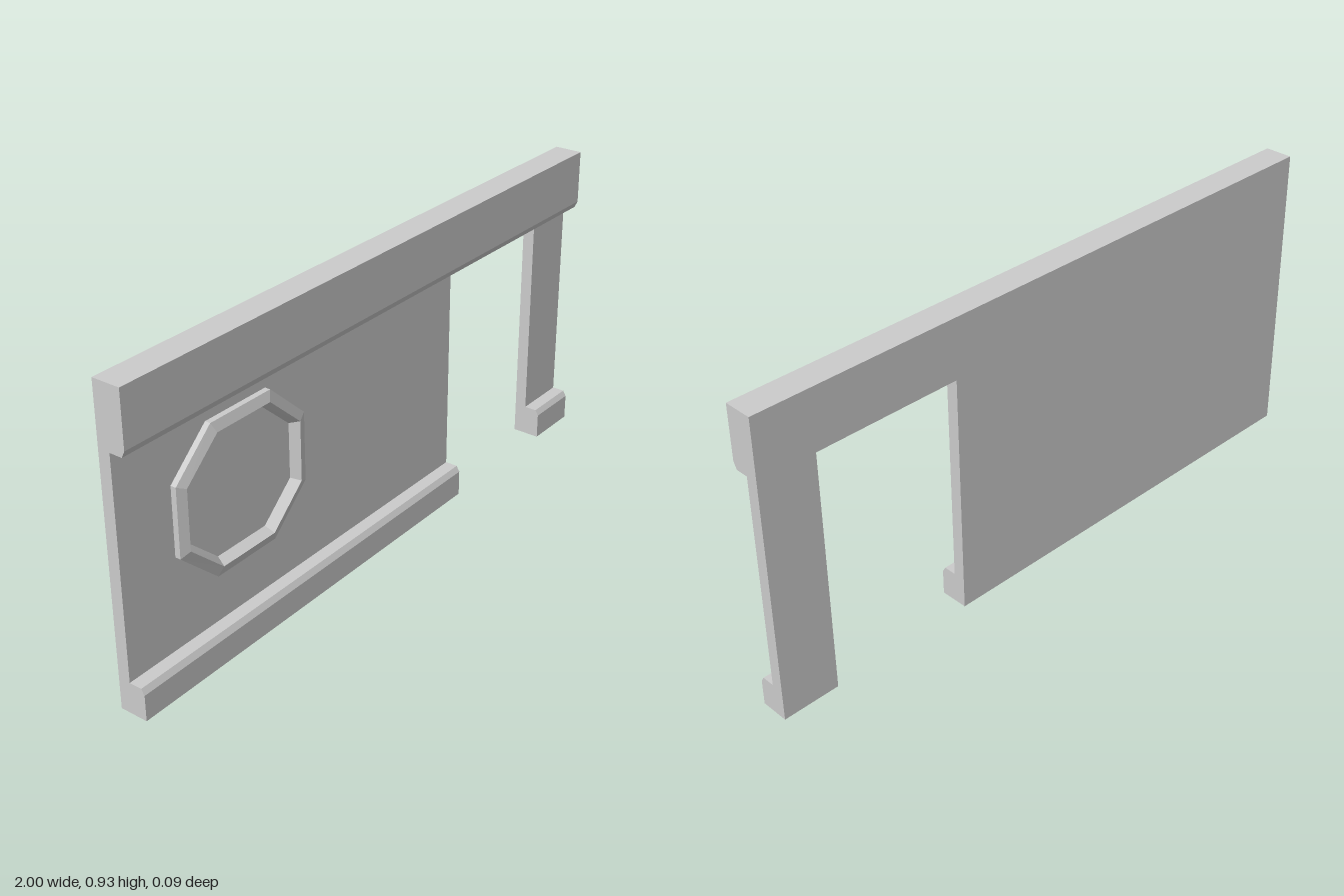
import * as THREE from 'three';

const BACK = -0.043, FACE = -0.006, FRONT = 0.043, CHAMFER = 0.033;
const TOP = 0.927, HEAD = 0.745, SKIRT = 0.095;
const material = new THREE.MeshStandardMaterial({ color: 0xcccccc, flatShading: true });

// Extrudes a [z, y] section along x from x0 to x1
function sectionAlongX(name, section, x0, x1) {
  const shape = new THREE.Shape(section.map(([z, y]) => new THREE.Vector2(-z, y)));
  const geometry = new THREE.ExtrudeGeometry(shape, { depth: x1 - x0, bevelEnabled: false });
  geometry.rotateY(Math.PI / 2).translate(x0, 0, 0);
  const mesh = new THREE.Mesh(geometry, material);
  mesh.name = name;
  return mesh;
}

// Octagonal frame: a [inset, z] profile carried round eight corners
function octagonFrame(cx, cy) {
  const a = 0.244, b = 0.2225, h = 0.1125, k = 0.1025;
  const corners = [[a, -k], [a, k], [h, b], [-h, b], [-a, k], [-a, -k], [-h, -b], [h, -b]];
  const profile = [[0, FACE], [0, 0.011], [0.028, 0.021], [0.044, FACE]];
  const positions = [], index = [];
  profile.forEach(([inset, z], i) => {
    corners.forEach(([x, y], j) => {
      positions.push(cx + x * (1 - inset / a), cy + y * (1 - inset / b), z);
      if (i === profile.length - 1) return;
      const n = (j + 1) % 8, p = i * 8, q = p + 8;
      index.push(p + j, p + n, q + n, p + j, q + n, q + j);
    });
  });
  let geometry = new THREE.BufferGeometry();
  geometry.setAttribute('position', new THREE.Float32BufferAttribute(positions, 3));
  geometry.setIndex(index);
  geometry = geometry.toNonIndexed();
  geometry.computeVertexNormals();
  const mesh = new THREE.Mesh(geometry, material);
  mesh.name = 'octagonFrame';
  return mesh;
}

export function createModel() {
  const group = new THREE.Group();
  group.name = 'wallWithDoorway';

  // Chamfered beam along the top and skirting along the foot
  const beam = [[CHAMFER, HEAD], [FRONT, 0.765], [FRONT, TOP], [BACK, TOP]];
  const skirting = [[BACK, 0], [FRONT, 0], [FRONT, 0.078], [CHAMFER, SKIRT], [FACE, SKIRT]];
  const wall = [...skirting, [FACE, HEAD], ...beam];
  const lintel = [[BACK, HEAD], ...beam];

  // Wall on both sides of the doorway, lintel across it
  group.add(
    sectionAlongX('mainWall', wall, -1, 0.37),
    sectionAlongX('doorLintel', lintel, 0.37, 0.825),
    sectionAlongX('doorPier', wall, 0.825, 1),
    octagonFrame(-0.57, 0.468),
  );
  return group;
}
